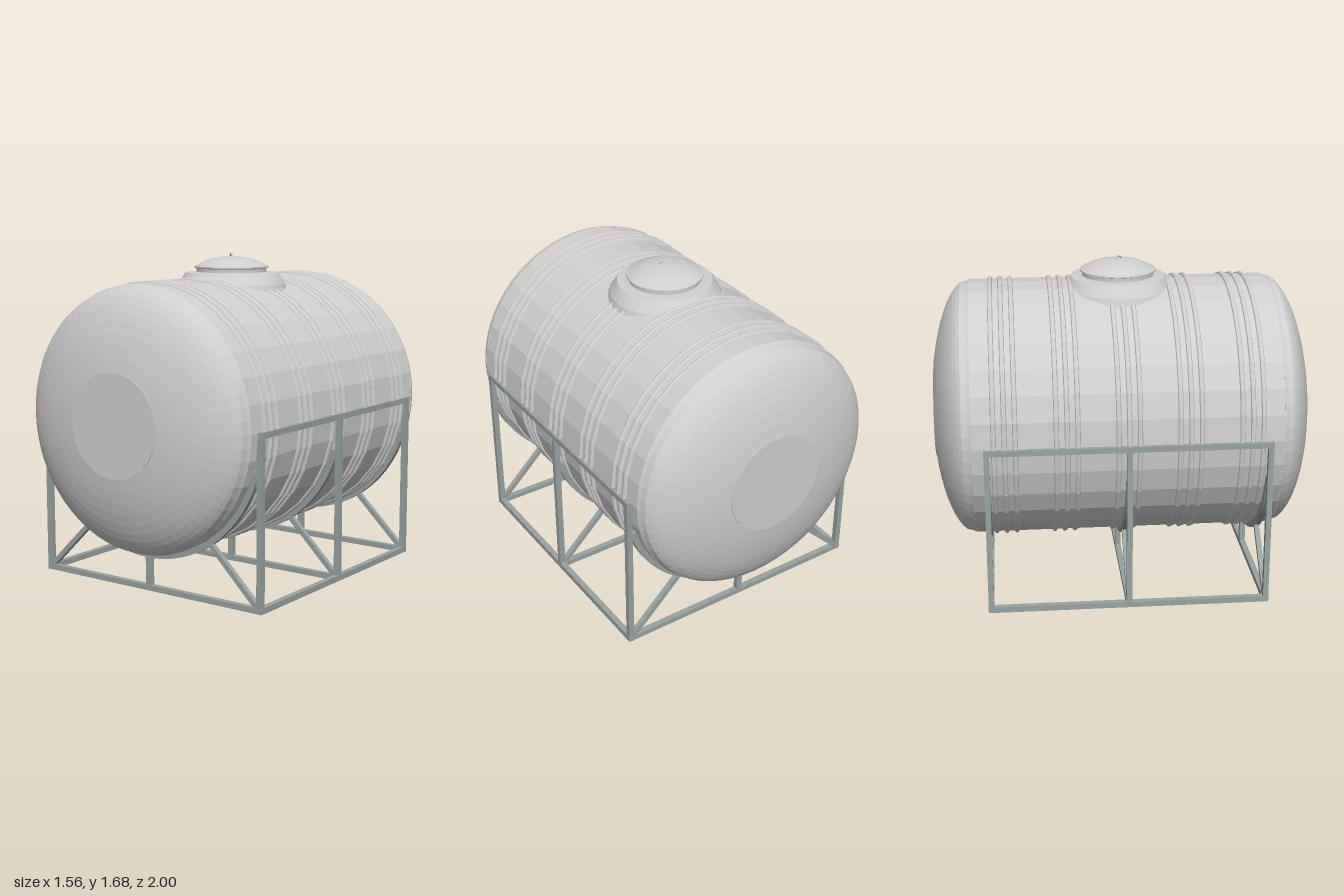
import * as THREE from 'three';

const CY = 0.878; // height of the tank axis
const R = 0.675; // tank radius

export function createModel() {
  const tankMat = new THREE.MeshStandardMaterial({ color: 0xcfcfcf, flatShading: true });
  tankMat.name = 'light grey tank';
  const frameMat = new THREE.MeshStandardMaterial({ color: 0x98a3a1, flatShading: true });
  frameMat.name = 'grey green steel';

  const model = new THREE.Group();
  model.name = 'storageTank';
  // the whole tank stands slightly turned
  const body = new THREE.Group();
  body.name = 'tankOnFrame';
  body.rotation.y = 0.124;
  model.add(body);

  const add = (name, geo, mat, x = 0, y = 0, z = 0) => {
    const m = new THREE.Mesh(geo, mat);
    m.name = name;
    m.position.set(x, y, z);
    body.add(m);
    return m;
  };
  const lathe = (pts, n) => new THREE.LatheGeometry(pts.map(p => new THREE.Vector2(p[0], p[1])), n);

  // cylindrical shell
  add('shell', new THREE.CylinderGeometry(R, R, 1.55, 32, 1, true).rotateX(Math.PI / 2), tankMat, 0, CY);

  // domed ends with a flat round plate
  const profile = [[R, 0.775]];
  for (let i = 0; i <= 10; i++) {
    const r = 0.668 * Math.cos(0.06 + (i / 10) * 1.105);
    profile.push([r, 0.775 + 0.215 * Math.sqrt(1 - (r / 0.675) ** 2) * (i ? 1 : 0.5)]);
  }
  for (const s of [1, -1]) {
    add('domedEnd', lathe(profile, 64).rotateX(s * Math.PI / 2), tankMat, 0, CY);
    add('endPlate', new THREE.CylinderGeometry(0.263, 0.263, 0.009, 64).rotateX(Math.PI / 2),
      tankMat, 0, CY, s * 0.971);
  }

  // five groups of three ribs
  for (const c of [-0.615, -0.307, 0, 0.307, 0.615]) {
    for (const d of [-0.053, 0, 0.053]) {
      add('rib', new THREE.TorusGeometry(R, 0.013, 8, 32), tankMat, 0, CY, c + d);
    }
  }

  // manhole collar, neck and lid
  add('manholeCollar', lathe([[0.305, 1.46], [0.285, 1.52], [0.245, 1.578], [0.18, 1.583]], 40), tankMat);
  add('manholeNeck', lathe([[0.187, 1.57], [0.187, 1.602], [0.18, 1.607]], 40), tankMat);
  add('lid', lathe([[0.18, 1.598], [0.197, 1.604], [0.197, 1.612], [0.165, 1.628], [0.12, 1.648],
    [0.06, 1.661], [0, 1.665]], 40), tankMat);
  const handle = add('lidHandle', new THREE.TorusGeometry(0.03, 0.006, 6, 12, Math.PI), tankMat, 0, 1.652);
  handle.scale.y = 0.85;
  handle.rotation.y = -0.77;

  // steel frame
  const T = 0.03, HX = 0.68, HZ = 0.705;
  const bar = (name, w, h, d, x, y, z) => add(name, new THREE.BoxGeometry(w, h, d), frameMat, x, y, z);

  // curved cradle strap under the tank
  const a0 = -Math.PI + 0.28, a1 = -0.28;
  const arc = new THREE.Shape();
  arc.absarc(0, 0, 0.704, a0, a1, false);
  arc.absarc(0, 0, 0.672, a1, a0, true);
  const strap = new THREE.ExtrudeGeometry(arc, { depth: T, bevelEnabled: false, curveSegments: 24 });
  strap.translate(0, 0, -T / 2);

  for (const s of [1, -1]) {
    bar('topRail', T, T, 2 * HZ + T, s * HX, 0.865, 0);
    bar('baseRail', T, T, 2 * HZ + T, s * HX, 0.015, 0);
  }
  for (const z of [-HZ, 0, HZ]) {
    bar('crossRail', 2 * HX, 0.028, T, 0, 0.015, z);
    bar('centrePost', T, 0.16, T, 0, 0.105, z);
    add('cradleStrap', strap, frameMat, 0, CY, z);
    for (const s of [1, -1]) {
      bar('sidePost', T, 0.85, T - 0.002, s * HX, 0.44, z);
      // diagonal brace from the base corner to the strap
      const brace = bar('brace', 0.42, 0.026, 0.026, s * 0.52, 0.17, z);
      brace.rotation.z = -s * 0.77;
    }
  }
  return model;
}
